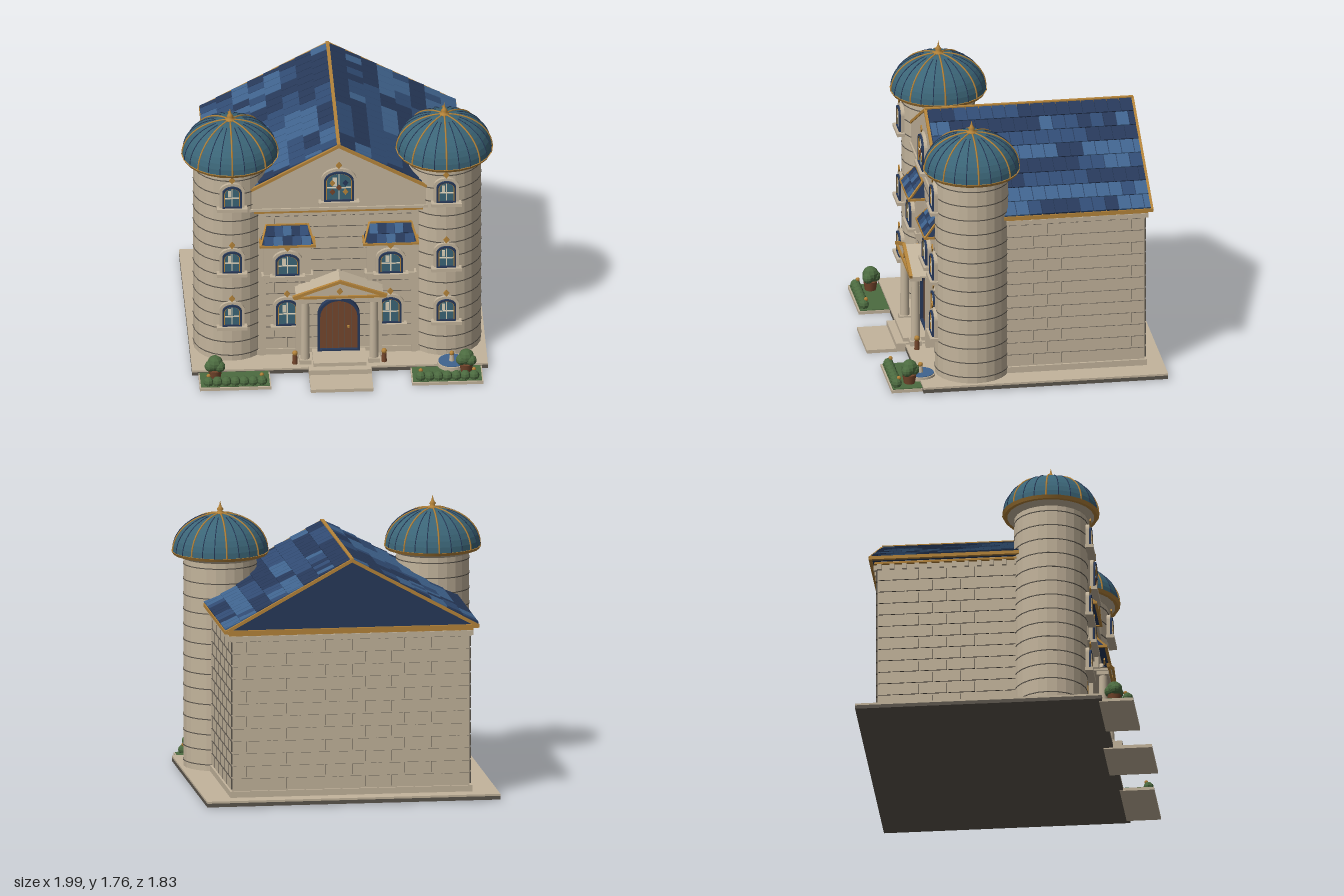
import * as THREE from 'three';
import { mergeGeometries } from 'three/addons/utils/BufferGeometryUtils.js';

const mat = (name, color) => Object.assign(new THREE.MeshStandardMaterial({ color }), { name });
const M = {
  stone: mat('stone', 0xc3b49c), mortar: mat('mortar', 0x5c564d), gold: mat('gold', 0xb5843a),
  navy: mat('navy slate', 0x27395a), mid: mat('blue slate', 0x314c74), light: mat('pale slate', 0x40648f),
  teal: mat('teal', 0x3b6577), wood: mat('wood', 0x74462c), leaf: mat('leaf', 0x4c6b40), cream: mat('cream', 0xdcd2ba),
};
const V = (x, y, z) => new THREE.Vector3(x, y, z);
let seed = 7;
const rand = () => (seed = (seed * 16807) % 2147483647) / 2147483647;

function add(parent, name, geo, material, x = 0, y = 0, z = 0) {
  const m = new THREE.Mesh(geo, material);
  m.name = name;
  m.position.set(x, y, z);
  parent.add(m);
  return m;
}
function group(parent, name, x = 0, y = 0, z = 0) {
  const g = new THREE.Group();
  g.name = name;
  g.position.set(x, y, z);
  parent.add(g);
  return g;
}
const box = (w, h, d) => new THREE.BoxGeometry(w, h, d);
const cyl = (a, b, h, n = 24) => new THREE.CylinderGeometry(a, b, h, n);
function flat(geo) {
  const g = geo.index ? geo.toNonIndexed() : geo;
  g.computeVertexNormals();
  return g;
}
// Box given by its limits
function block(p, name, m, x0, x1, y0, y1, z0, z1) {
  return add(p, name, box(x1 - x0, y1 - y0, z1 - z0), m, (x0 + x1) / 2, (y0 + y1) / 2, (z0 + z1) / 2);
}
// Square bar between two points
function beam(p, name, a, b, t, m = M.gold) {
  const bar = new THREE.Mesh(box(t, t, a.distanceTo(b) + t * 0.5), m);
  bar.name = name;
  bar.position.copy(a).add(b).multiplyScalar(0.5);
  bar.lookAt(b);
  p.add(bar);
}
const extrude = (shape, depth) => new THREE.ExtrudeGeometry(shape, { depth, bevelEnabled: false, curveSegments: 8 });
const poly = (pts) => new THREE.Shape(pts.map(([x, y]) => new THREE.Vector2(x, y)));
// Outline with a curved head, standing on y = 0
function arch(w, h, rise, Type = THREE.Shape, y0 = 0) {
  const s = new Type();
  s.moveTo(-w / 2, y0);
  s.lineTo(w / 2, y0);
  s.lineTo(w / 2, h - rise);
  s.absellipse(0, h - rise, w / 2, rise, 0, Math.PI, false);
  s.lineTo(-w / 2, y0);
  return s;
}
function archRing(w, h, rise, t, depth) {
  const s = arch(w, h, rise);
  s.holes.push(arch(w - 2 * t, h - t, rise - t * 0.6, THREE.Path, t));
  return extrude(s, depth);
}
const diamond = (r) => extrude(poly([[0, -r * 1.25], [r, 0], [0, r * 1.25], [-r, 0]]), 0.008);

// Arched window with surround, frame, glazing bars and sill; origin at bottom centre on the wall
function windowUnit(parent, name, x, y, z, w, h, stained = false) {
  const g = group(parent, name, x, y, z), r = w * 0.36;
  add(g, 'surround', extrude(arch(w + 0.035, h + 0.018, r + 0.012), 0.022), M.stone);
  add(g, 'outerFrame', archRing(w, h, r, 0.012, 0.034), M.navy);
  add(g, 'innerFrame', archRing(w - 0.022, h - 0.011, r - 0.007, 0.007, 0.02), M.gold, 0, 0.004, 0.012);
  add(g, 'glass', extrude(arch(w - 0.02, h - 0.01, r - 0.006), 0.004), M.teal, 0, 0, 0.021);
  add(g, 'sill', box(w + 0.07, 0.022, 0.05), M.stone, 0, -0.01, 0.025);
  add(g, 'uprightBar', box(0.008, h - 0.03, 0.006), M.cream, 0, h / 2, 0.027);
  add(g, 'crossBar', box(w - 0.03, 0.008, 0.006), M.cream, 0, h * 0.46, 0.027);
  add(g, 'paneGlint', box(w * 0.16, h * 0.3, 0.003), M.cream, -w * 0.14, h * 0.66, 0.026);
  add(g, 'diamond', diamond(0.02), M.gold, 0, h + 0.045, 0.02);
  if (stained) [[-1, 0.62, M.gold], [1, 0.62, M.navy], [-1, 0.32, M.wood], [1, 0.32, M.gold], [0, 0.47, M.wood]]
    .forEach(([i, t, m]) => add(g, 'stainedPane', diamond(0.018), m, i * w * 0.22, h * t, 0.024));
}

// Raised stone courses on a wall facing +z, turned about y
function brickWall(parent, name, width, y0, y1, rows, x, z, turn) {
  const faces = [], sides = [], n = Math.round(width / 0.17), pitch = width / n, rh = (y1 - y0) / rows, gap = 0.012;
  for (let r = 0; r < rows; r++) for (let i = 0; i <= n; i++) {
    const a = Math.max(0, (i - (r % 2) / 2) * pitch), b = Math.min(width, (i + 1 - (r % 2) / 2) * pitch);
    if (b - a < 0.02) continue;
    const g = box(b - a - gap, rh - gap, 0.01).translate((a + b - width) / 2, y0 + (r + 0.5) * rh, 0.005);
    const idx = Array.from(g.index.array), side = g.clone();
    side.setIndex(idx.slice(0, 24));
    g.setIndex(idx.slice(24, 30));
    faces.push(g);
    sides.push(side);
  }
  const w = group(parent, name, x, 0, z);
  w.rotation.y = turn;
  add(w, 'brickFaces', mergeGeometries(faces), M.stone);
  add(w, 'brickJoints', mergeGeometries(sides), M.mortar);
}

function tower(parent, s) {
  const t = group(parent, s > 0 ? 'leftTower' : 'rightTower', s * 0.685, 0, 0.31);
  add(t, 'shaft', flat(cyl(0.235, 0.235, 1.37)), M.stone, 0, 0.725, 0);
  for (let i = 0; i < 14; i++) add(t, 'courseLine', cyl(0.238, 0.238, 0.006), M.mortar, 0, 0.085 + i * 0.098, 0);
  add(t, 'collar', flat(cyl(0.29, 0.24, 0.03)), M.stone, 0, 1.41, 0);
  add(t, 'domeRim', cyl(0.312, 0.3, 0.02), M.gold, 0, 1.428, 0);
  // Dome, ribs and seams share one elliptical profile
  const prof = (k, o = 0) => { const a = (k / 10) * Math.PI / 2; return [(0.305 + o) * Math.cos(a), 1.435 + (0.245 + o) * Math.sin(a)]; };
  const pts = Array.from({ length: 11 }, (_, k) => new THREE.Vector2(...prof(k)));
  add(t, 'dome', flat(new THREE.LatheGeometry(pts, 24)), M.teal);
  for (let i = 0; i < 24; i++) {
    const rib = i % 3 === 0;
    const path = new THREE.CatmullRomCurve3(Array.from({ length: rib ? 11 : 9 }, (_, k) => V(...prof(k, 0.001), 0)));
    const tube = add(t, rib ? 'domeRib' : 'domeSeam', new THREE.TubeGeometry(path, 12, rib ? 0.006 : 0.003, 5), rib ? M.gold : M.navy);
    tube.rotation.y = (i / 24) * Math.PI * 2;
  }
  const fin = [[0.03, 0], [0.03, 0.012], [0.014, 0.018], [0.022, 0.032], [0.012, 0.045], [0.006, 0.06], [0, 0.088]];
  add(t, 'finial', new THREE.LatheGeometry(fin.map(([x, y]) => new THREE.Vector2(x, y)), 12), M.gold, 0, 1.675, 0);
  [0.31, 0.7, 1.175].forEach((y) => windowUnit(t, 'towerWindow', 0, y, 0.23, 0.125, 0.155));
}

// Staggered slates on one slope, sorted into three blues
function slates(parent, s) {
  const bins = [[], [], []], rows = 8, n = 16, ang = Math.atan2(0.44, 0.81), z0 = -0.83, len = 1.32, p = len / n;
  for (let r = 0; r < rows; r++) {
    let c = 0;
    for (let i = 0; i <= n; i++) {
      if (rand() < 0.55) { const q = rand(); c = q < 0.42 ? 0 : q < 0.74 ? 1 : 2; }
      const a = Math.max(0, (i - (r % 2) / 2) * p), b = Math.min(len, (i + 1 - (r % 2) / 2) * p), f = (r + 0.5) / rows;
      if (b - a < 0.01) continue;
      bins[c].push(box(0.117, 0.012, b - a - 0.005).rotateZ(-s * (ang - 0.06))
        .translate(s * (0.81 * f + 0.004), 1.575 - 0.44 * f + 0.004, z0 + (a + b) / 2));
    }
  }
  [M.navy, M.mid, M.light].forEach((m, k) => add(parent, 'slates', mergeGeometries(bins[k]), m));
}

// Projecting bay with its window and lean-to hipped roof
function bay(parent, s) {
  const g = group(parent, 'bay', s * 0.33, 0, 0.47);
  block(g, 'bayBody', M.stone, -0.15, 0.15, 0.65, 0.89, -0.01, 0.06);
  block(g, 'bayLedge', M.stone, -0.165, 0.165, 0.635, 0.655, 0, 0.07);
  for (const x of [-0.13, 0.13]) block(g, 'bracket', M.stone, x - 0.015, x + 0.015, 0.59, 0.64, 0, 0.045);
  windowUnit(g, 'bayWindow', 0, 0.665, 0.06, 0.155, 0.155);
  const roof = box(0.34, 0.105, 0.11), pos = roof.attributes.position;
  for (let i = 0; i < pos.count; i++) if (pos.getY(i) > 0) {
    pos.setX(i, pos.getX(i) * 0.78);
    if (pos.getZ(i) > 0) pos.setZ(i, -0.035);
  }
  add(g, 'bayRoof', flat(roof), M.navy, 0, 0.945, 0.055);
  for (let r = 0; r < 2; r++) for (let i = 0; i < 5; i++) {
    const t = add(g, 'baySlate', box(0.058 - r * 0.006, 0.064, 0.008), [M.mid, M.navy, M.light][(i * 2 + r + (s > 0 ? 1 : 0)) % 3],
      (i - 2) * (0.06 - r * 0.006), 0.918 + r * 0.052, 0.093 - r * 0.045);
    t.rotation.x = -0.7;
  }
  beam(g, 'bayEave', V(-0.175, 0.892, 0.11), V(0.175, 0.892, 0.11), 0.016);
  beam(g, 'bayTop', V(-0.13, 1, 0.018), V(0.13, 1, 0.018), 0.01);
  for (const e of [-1, 1]) {
    beam(g, 'bayHip', V(e * 0.172, 0.895, 0.11), V(e * 0.133, 1, 0.018), 0.012);
    beam(g, 'baySideEave', V(e * 0.172, 0.892, 0), V(e * 0.172, 0.892, 0.11), 0.014);
  }
  windowUnit(g, 'groundWindow', 0, 0.27, 0.008, 0.14, 0.185);
}

function porch(parent) {
  const g = group(parent, 'porch');
  block(g, 'upperStep', M.stone, -0.17, 0.17, 0.045, 0.08, 0.47, 0.67);
  block(g, 'lowerStep', M.stone, -0.2, 0.2, 0.02, 0.055, 0.47, 0.72);
  add(g, 'door', extrude(arch(0.24, 0.365, 0.11), 0.02), M.wood, 0, 0.08, 0.475);
  add(g, 'doorFrame', archRing(0.27, 0.385, 0.125, 0.016, 0.04), M.navy, 0, 0.075, 0.475);
  for (let i = -2; i <= 2; i++) block(g, 'plankGroove', M.mortar, i * 0.04 - 0.0015, i * 0.04 + 0.0015, 0.09, 0.42, 0.494, 0.497);
  block(g, 'doorKnob', M.gold, 0.055, 0.07, 0.24, 0.255, 0.495, 0.508);
  for (const s of [-1, 1]) {
    block(g, 'pier', M.stone, s * 0.255 - 0.02, s * 0.255 + 0.02, 0.045, 0.53, 0.47, 0.54);
    add(g, 'column', cyl(0.026, 0.03, 0.43, 16), M.stone, s * 0.22, 0.295, 0.6);
    for (const y of [0.07, 0.515]) add(g, 'columnBlock', box(0.075, 0.03, 0.075), M.stone, s * 0.22, y, 0.6);
    add(g, 'lanternPost', cyl(0.014, 0.018, 0.06, 8), M.wood, s * 0.285, 0.075, 0.6);
    add(g, 'lantern', new THREE.SphereGeometry(0.018, 8, 6), M.gold, s * 0.285, 0.12, 0.6);
    beam(g, 'porchRake', V(0, 0.656, 0.64), V(s * 0.295, 0.55, 0.64), 0.02);
  }
  add(g, 'porchRoof', extrude(poly([[-0.28, 0.54], [0.28, 0.54], [0, 0.655]]), 0.165), M.stone, 0, 0, 0.47);
  block(g, 'entablature', M.stone, -0.265, 0.265, 0.525, 0.545, 0.47, 0.635);
  beam(g, 'porchCornice', V(-0.29, 0.545, 0.64), V(0.29, 0.545, 0.64), 0.016);
  add(g, 'diamond', diamond(0.02), M.gold, 0, 0.585, 0.634);
}

function garden(parent, s) {
  const g = group(parent, s > 0 ? 'leftGarden' : 'rightGarden', s * 0.678, 0, 0);
  block(g, 'border', M.stone, -0.228, 0.228, 0.005, 0.025, 0.64, 0.86);
  block(g, 'lawn', M.leaf, -0.22, 0.22, 0.02, 0.03, 0.64, 0.85);
  for (let i = 0; i < 7; i++) add(g, 'hedgeBush', flat(new THREE.SphereGeometry(0.034, 8, 6)), M.leaf, (i - 3) * 0.057, 0.05, 0.82);
  for (const x of [-0.17, 0.17]) add(g, 'flower', new THREE.SphereGeometry(0.014, 6, 5), M.gold, x, 0.085, 0.805);
  add(g, 'pot', cyl(0.046, 0.036, 0.06, 10), M.wood, s * 0.125, 0.06, 0.73);
  [[0, 0.135, 0, 0.052], [0.03, 0.12, 0.02, 0.036], [-0.032, 0.12, 0.01, 0.036], [0, 0.12, -0.03, 0.036]]
    .forEach(([x, y, z, r]) => add(g, 'potBush', flat(new THREE.SphereGeometry(r, 9, 7)), M.leaf, s * 0.125 + x, y, 0.73 + z));
  if (s > 0) {
    add(g, 'fountainRim', cyl(0.095, 0.095, 0.025), M.stone, 0.037, 0.047, 0.645);
    add(g, 'fountainWater', cyl(0.086, 0.086, 0.005), M.light, 0.037, 0.061, 0.645);
    add(g, 'fountainStem', cyl(0.012, 0.018, 0.05, 10), M.stone, 0.037, 0.085, 0.645);
    add(g, 'fountainTop', new THREE.SphereGeometry(0.016, 8, 6), M.gold, 0.037, 0.115, 0.645);
  }
}

export function createModel() {
  const root = new THREE.Group();
  root.name = 'manor';
  // Plinth and path
  block(root, 'plinthBase', M.mortar, -0.945, 0.945, 0.008, 0.032, -0.92, 0.66);
  block(root, 'plinthTop', M.stone, -0.945, 0.945, 0.032, 0.045, -0.92, 0.66);
  block(root, 'path', M.stone, -0.2, 0.2, 0, 0.022, 0.6, 0.91);
  // Main block
  block(root, 'body', M.stone, -0.765, 0.765, 0.04, 1.12, -0.795, 0.47);
  block(root, 'footing', M.stone, -0.78, 0.78, 0.045, 0.085, -0.81, 0.478);
  brickWall(root, 'backWall', 1.53, 0.09, 1.06, 12, 0, -0.795, Math.PI);
  brickWall(root, 'leftWall', 1.26, 0.09, 1.06, 12, 0.765, -0.163, Math.PI / 2);
  brickWall(root, 'rightWall', 1.26, 0.09, 1.06, 12, -0.765, -0.163, -Math.PI / 2);
  brickWall(root, 'frontWall', 1.0, 0.09, 1.06, 12, 0, 0.47, 0);
  // Roof with closed back gable and stone front gable
  add(root, 'roof', extrude(poly([[-0.805, 1.12], [0.805, 1.12], [0, 1.568]]), 1.32), M.navy, 0, 0, -0.83);
  add(root, 'frontGable', extrude(poly([[-0.77, 1.12], [0.77, 1.12], [0.77, 1.145], [0, 1.56], [-0.77, 1.145]]), 0.035), M.stone, 0, 0, 0.47);
  beam(root, 'ridge', V(0, 1.575, -0.835), V(0, 1.575, 0.5), 0.022);
  beam(root, 'backCornice', V(-0.81, 1.125, -0.835), V(0.81, 1.125, -0.835), 0.022);
  block(root, 'frontCornice', M.gold, -0.54, 0.54, 1.09, 1.112, 0.47, 0.5);
  block(root, 'frontCorniceBand', M.stone, -0.57, 0.57, 1.112, 1.13, 0.47, 0.515);
  block(root, 'backLowerCornice', M.gold, -0.785, 0.785, 1.095, 1.108, -0.815, -0.79);
  for (const s of [-1, 1]) {
    slates(root, s);
    beam(root, 'eave', V(s * 0.81, 1.125, -0.835), V(s * 0.81, 1.125, 0.46), 0.022);
    block(root, 'sideCornice', M.gold, s * 0.775 - 0.012, s * 0.775 + 0.012, 1.095, 1.108, -0.81, 0.44);
    beam(root, 'backRake', V(0, 1.572, -0.835), V(s * 0.81, 1.128, -0.835), 0.02);
    beam(root, 'frontRake', V(0, 1.572, 0.502), V(s * 0.57, 1.26, 0.502), 0.018);
    for (let i = 0; i < 16; i++) add(root, 'sideDentil', box(0.03, 0.035, 0.028), M.stone, s * 0.775, 1.075, -0.78 + i * 0.08);
    block(root, 'cornerPilaster', M.stone, s * 0.485 - 0.02, s * 0.485 + 0.02, 0.045, 1.09, 0.46, 0.485);
    tower(root, s);
    bay(root, s);
    garden(root, s);
  }
  for (let i = 0; i < 20; i++) add(root, 'backDentil', box(0.028, 0.035, 0.03), M.stone, -0.76 + i * 0.08, 1.075, -0.805);
  for (let i = 0; i < 17; i++) add(root, 'frontDentil', box(0.028, 0.04, 0.025), M.stone, -0.48 + i * 0.06, 1.07, 0.48);
  windowUnit(root, 'atticWindow', 0, 1.185, 0.503, 0.19, 0.215, true);
  porch(root);
  return root;
}
